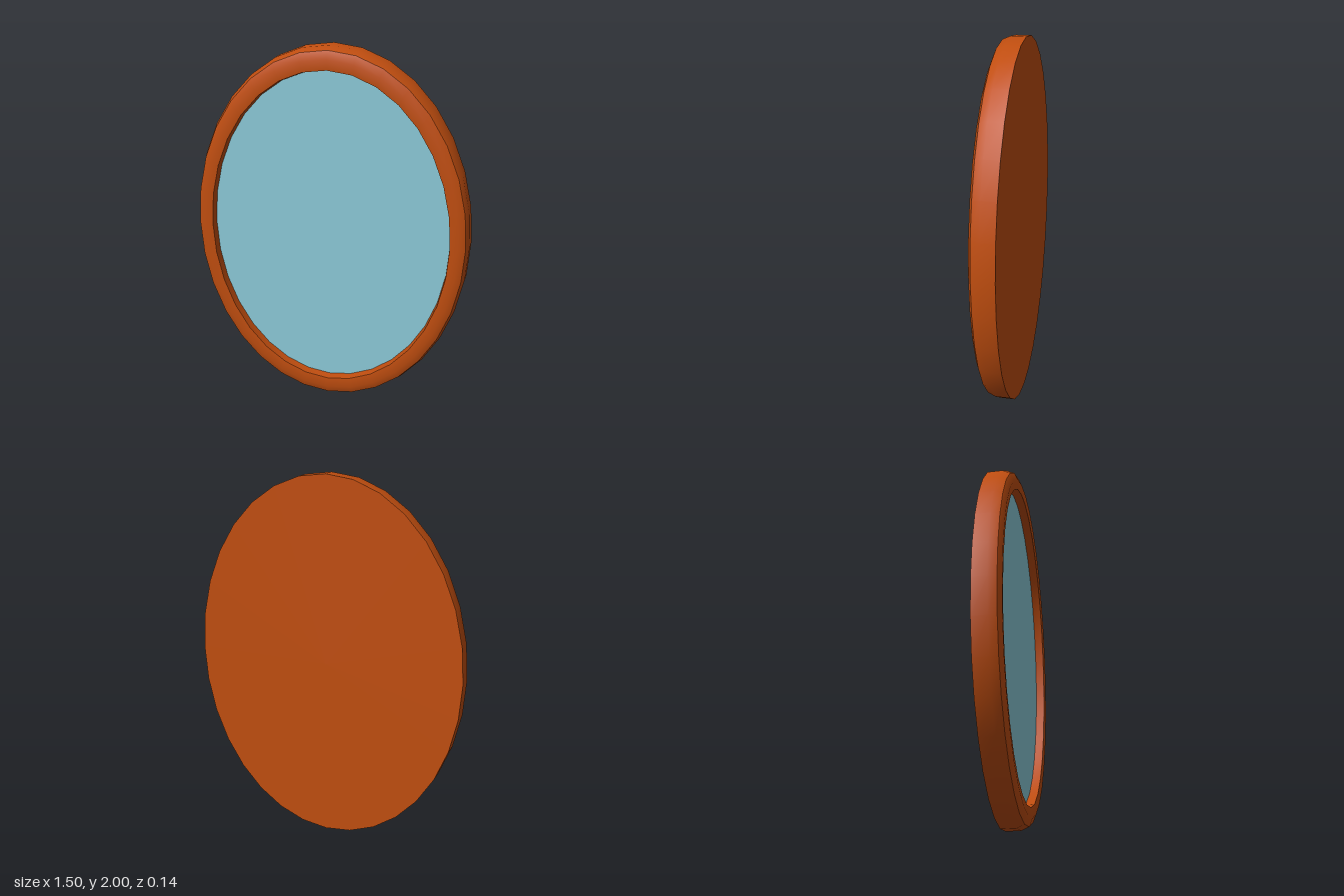
import * as THREE from 'three';
import { toCreasedNormals } from 'three/addons/utils/BufferGeometryUtils.js';

const SIDES = 32;

// Stretch a round geometry (axis on z) into an oval with a slightly wider rim at top and bottom
function makeOval(geometry) {
  const p = geometry.attributes.position;
  for (let i = 0; i < p.count; i++) {
    const x = p.getX(i), y = p.getY(i), r = Math.hypot(x, y);
    if (r > 0) p.setY(i, (y / r) * (1 - (0.75 - r) * 1.21));
  }
  return geometry;
}

export function createModel() {
  const wood = new THREE.MeshStandardMaterial({ color: 0xbf4d0f });
  wood.name = 'orange wood';
  const glass = new THREE.MeshStandardMaterial({ color: 0x8ac8d6 });
  glass.name = 'pale blue glass';

  const model = new THREE.Group();
  model.name = 'ovalMirror';
  const add = (name, geometry, material) => {
    const mesh = new THREE.Mesh(geometry, material);
    mesh.name = name;
    mesh.position.y = 1;
    model.add(mesh);
  };

  // Frame: rounded outer edge, front lip and inner wall (radius, depth)
  const profile = [
    [0.75, -0.07], [0.75, 0.01], [0.735, 0.052],
    [0.7, 0.07], [0.655, 0.065], [0.65, 0.02],
  ].map(([r, z]) => new THREE.Vector2(r, z));
  const ring = makeOval(new THREE.LatheGeometry(profile, SIDES).rotateX(Math.PI / 2));
  add('frame', toCreasedNormals(ring, 0.6), wood);

  // Flat back panel
  const back = makeOval(new THREE.CircleGeometry(0.75, SIDES).rotateY(Math.PI));
  add('backPanel', back.translate(0, 0, -0.07), wood);

  // Mirror glass, recessed in the frame
  const pane = makeOval(new THREE.CircleGeometry(0.65, SIDES));
  add('mirrorGlass', pane.translate(0, 0, 0.02), glass);

  return model;
}
